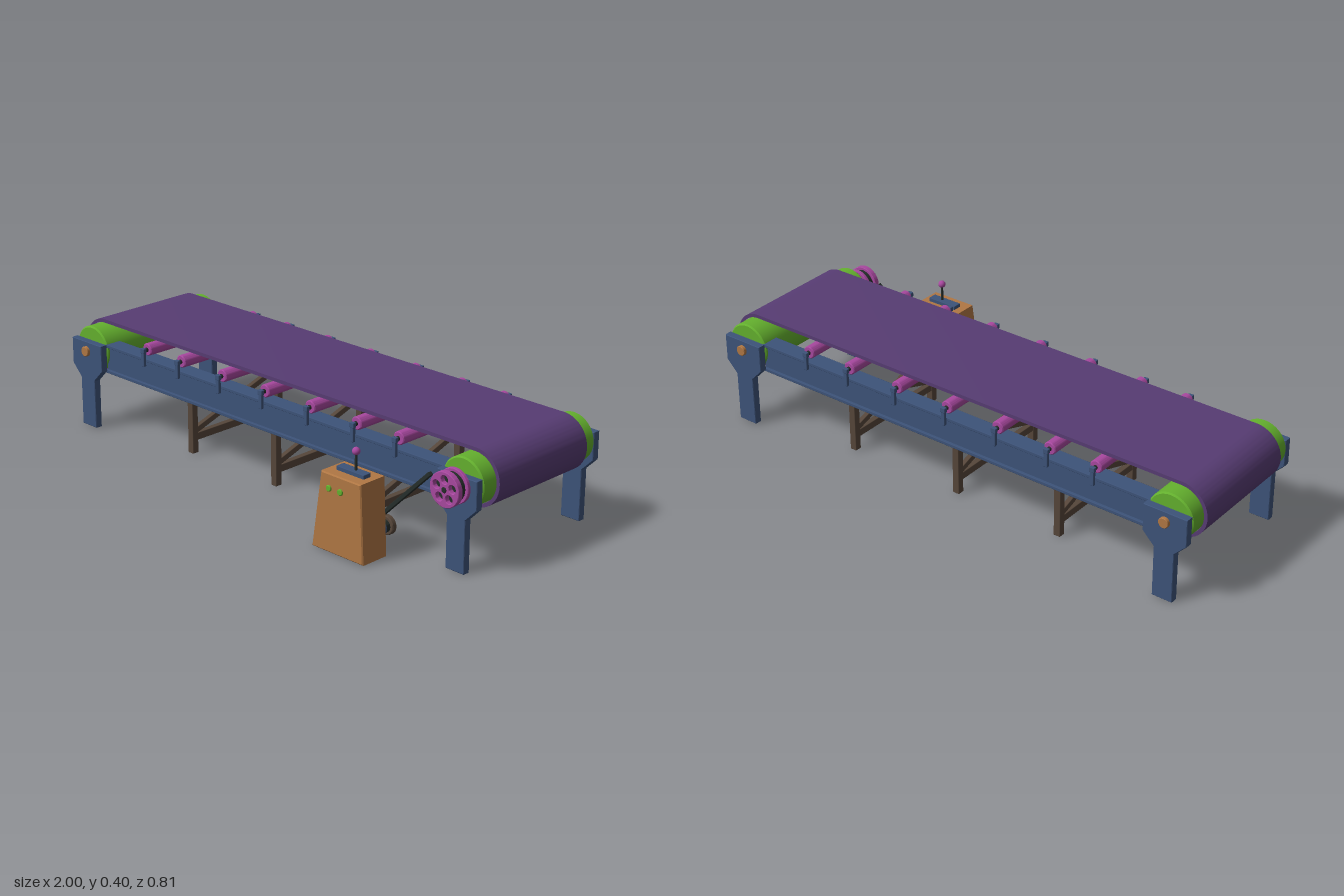
import * as THREE from 'three';
import { toCreasedNormals } from 'three/addons/utils/BufferGeometryUtils.js';
import { RoundedBoxGeometry } from 'three/addons/geometries/RoundedBoxGeometry.js';

const ZC = -0.085;   // centre line of the conveyor
const AXLE_Y = 0.297, END_X = 0.9;

export function createModel() {
  const root = new THREE.Group();
  root.name = 'beltConveyor';

  const mat = (name, color) => {
    const m = new THREE.MeshStandardMaterial({ color });
    m.name = name;
    return m;
  };
  const purple = mat('beltPurple', 0x573c73);
  const green = mat('drumGreen', 0x64b02e);
  const blue = mat('frameBlue', 0x3d5379);
  const magenta = mat('rollerMagenta', 0xa8489f);
  const orange = mat('boxOrange', 0xb07744);
  const brown = mat('trestleBrown', 0x56463a);
  const dark = mat('rubberDark', 0x262e2b);

  const add = (name, geo, material, x = 0, y = 0, z = 0) => {
    const mesh = new THREE.Mesh(geo, material);
    mesh.name = name;
    mesh.position.set(x, y, z);
    root.add(mesh);
    return mesh;
  };
  const box = (name, m, w, h, d, x, y, z, r = 0.002) =>
    add(name, new RoundedBoxGeometry(w, h, d, 1, r), m, x, y, z);

  // Disc or shaft along z between z0 and z1, with a small rounded edge
  const shaft = (name, m, r, z0, z1, x, y, bevel = 0.003, sides = 32) => {
    const h = (z1 - z0) / 2;
    const pts = [[0, -h], [r - bevel, -h], [r, -h + bevel], [r, h - bevel], [r - bevel, h], [0, h]];
    const geo = new THREE.LatheGeometry(pts.map(p => new THREE.Vector2(...p)), sides);
    geo.rotateX(Math.PI / 2);
    return add(name, toCreasedNormals(geo, 0.5), m, x, y, (z0 + z1) / 2);
  };

  // Shape pushed out along z from z0 to z1
  const slab = (name, m, shape, z0, z1, bevel = 0) => {
    const geo = new THREE.ExtrudeGeometry(shape, {
      depth: z1 - z0 - 2 * bevel, curveSegments: 24, steps: 1,
      bevelEnabled: bevel > 0, bevelSize: bevel, bevelThickness: bevel, bevelOffset: -bevel, bevelSegments: 1,
    });
    return add(name, toCreasedNormals(geo, 0.5), m, 0, 0, z0 + bevel);
  };
  const polygon = pts => new THREE.Shape(pts.map(p => new THREE.Vector2(...p)));

  // Belt: loop round both drums, its return run lifted between them
  const loop = (path, r, low) => {
    path.moveTo(-END_X, AXLE_Y + r);
    path.lineTo(END_X, AXLE_Y + r);
    path.absarc(END_X, AXLE_Y, r, Math.PI / 2, -Math.PI / 2, true);
    path.lineTo(0.72, low);
    path.lineTo(-0.72, low);
    path.lineTo(-END_X, AXLE_Y - r);
    path.absarc(-END_X, AXLE_Y, r, -Math.PI / 2, -Math.PI * 1.5, true);
    return path;
  };
  const beltShape = loop(new THREE.Shape(), 0.1, 0.228);
  beltShape.holes.push(loop(new THREE.Path(), 0.087, 0.24));
  slab('belt', purple, beltShape, -0.305, 0.135);

  // End drums, axle ends and legs
  for (const sx of [-1, 1]) {
    const x = sx * END_X;
    shaft('endDrum', green, 0.085, -0.364, 0.195, x, AXLE_Y, 0.005, 48);
    shaft('axle', orange, 0.019, -0.405, sx < 0 ? 0.235 : 0.228, x, 0.294, 0.002, 16);
    const leg = polygon([
      [x - 0.038, 0], [x + 0.038, 0], [x + 0.038, 0.185], [x + 0.082, 0.23],
      [x + 0.082, 0.33], [x - 0.082, 0.33], [x - 0.082, 0.23], [x - 0.038, 0.185],
    ]);
    slab('frontLeg', blue, leg, 0.195, 0.223, 0.002);
    slab('backLeg', blue, leg, -0.393, -0.364, 0.002);
  }

  // Side rails: channels open to the outside
  for (const s of [-1, 1]) {
    const z = d => ZC + s * d;
    box('railWeb', blue, 1.66, 0.1, 0.03, 0, 0.275, z(0.253));
    for (const y of [0.226, 0.324]) box('railFlange', blue, 1.66, 0.012, 0.065, 0, y, z(0.246));
  }

  // Carrying rollers with a bracket at each end
  for (const x of [-0.607, -0.425, -0.213, 0, 0.217, 0.43, 0.616]) {
    shaft('idlerRoller', magenta, 0.023, -0.352, 0.182, x, 0.361, 0.003, 24);
    shaft('idlerAxle', dark, 0.008, -0.372, 0.202, x, 0.361, 0.001, 12);
    for (const s of [-1, 1]) {
      box('idlerBracket', blue, 0.015, 0.068, 0.012, x, 0.336, ZC + s * 0.284);
      box('idlerCollar', blue, 0.02, 0.018, 0.014, x, 0.361, ZC + s * 0.284);
    }
  }

  // Trestles: two posts, a crossbar and crossed braces
  for (const x of [-0.428, 0, 0.465]) {
    for (const s of [-1, 1]) {
      box('trestlePost', brown, 0.026, 0.225, 0.026, x, 0.1125, ZC + s * 0.213);
      const brace = box('trestleBrace', brown, 0.018, 0.022, 0.435, x + s * 0.001, 0.152, ZC);
      brace.rotation.x = s * Math.atan2(0.135, 0.41);
    }
    box('trestleCrossbar', brown, 0.022, 0.028, 0.42, x, 0.061, ZC);
  }

  // Control box with buttons and a lever
  slab('controlBox', orange, polygon([[0.442, 0], [0.67, 0], [0.657, 0.275], [0.482, 0.275]]), 0.286, 0.4, 0.004);
  for (const x of [0.52, 0.57]) shaft('button', green, 0.011, 0.395, 0.406, x, 0.225, 0.002, 16);
  box('leverPlate', blue, 0.12, 0.016, 0.034, 0.572, 0.281, 0.343);
  add('leverStick', new THREE.CylinderGeometry(0.0045, 0.0045, 0.075, 12), dark, 0.583, 0.315, 0.343);
  add('leverKnob', new THREE.SphereGeometry(0.0135, 20, 14), magenta, 0.583, 0.354, 0.343);

  // Motor and its small pulley
  shaft('motor', blue, 0.027, 0.26, 0.29, 0.62, 0.077);
  shaft('motorPulleyGroove', dark, 0.023, 0.24, 0.265, 0.62, 0.077);
  shaft('motorPulley', brown, 0.034, 0.223, 0.243, 0.62, 0.077);

  // Drive pulley: two pierced flanges on a dark hub
  const flange = new THREE.Shape().absarc(END_X, AXLE_Y, 0.06, 0, Math.PI * 2);
  for (let i = 0; i < 5; i++) {
    const a = Math.PI / 2 + i * Math.PI * 0.4;
    flange.holes.push(new THREE.Path().absarc(
      END_X + 0.034 * Math.cos(a), AXLE_Y + 0.034 * Math.sin(a), 0.014, 0, Math.PI * 2, true));
  }
  slab('pulleyOuterFlange', magenta, flange, 0.262, 0.283, 0.002);
  slab('pulleyInnerFlange', magenta, flange, 0.225, 0.239, 0.002);
  shaft('pulleyHub', dark, 0.049, 0.236, 0.266, END_X, AXLE_Y);
  shaft('pulleyCap', dark, 0.01, 0.26, 0.286, END_X, AXLE_Y, 0.002, 16);

  // Drive belt between the pulleys
  const from = new THREE.Vector2(0.597, 0.1), to = new THREE.Vector2(0.815, 0.318);
  const run = to.clone().sub(from);
  const drive = box('driveBelt', dark, run.length(), 0.014, 0.018, (from.x + to.x) / 2, (from.y + to.y) / 2, 0.25);
  drive.rotation.z = run.angle();

  return root;
}
